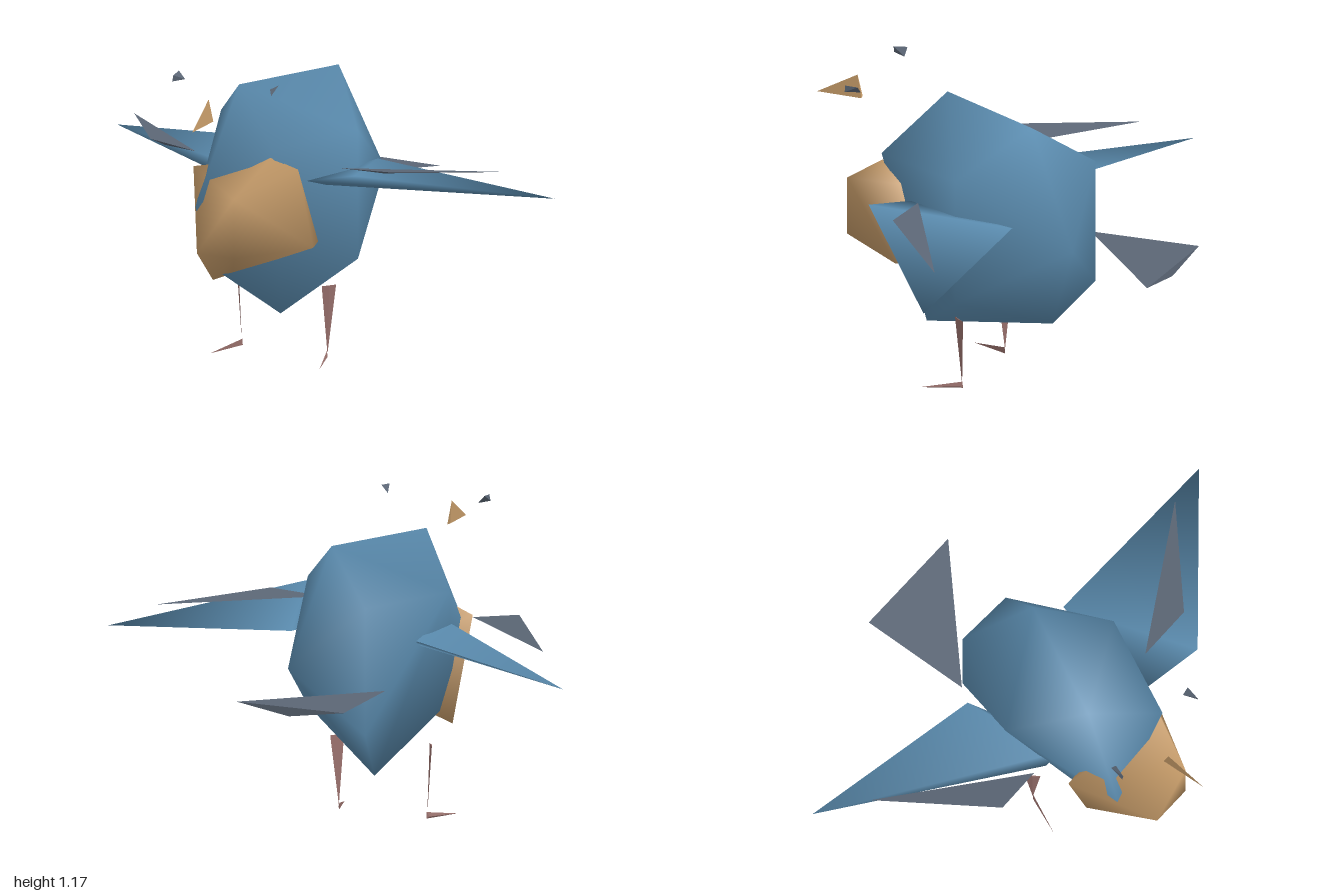
import * as THREE from 'three';
import { ConvexGeometry } from 'three/addons/geometries/ConvexGeometry.js';
import { mergeVertices } from 'three/addons/utils/BufferGeometryUtils.js';

function paint(name, color) {
  const m = new THREE.MeshStandardMaterial({ color, side: THREE.DoubleSide });
  m.name = name;
  return m;
}

export function createModel() {
  const bird = new THREE.Group();
  bird.name = 'bird';
  const blue = paint('plumage blue', 0x5a8bae);
  const tan = paint('belly tan', 0xc49a68);
  const grey = paint('feather grey', 0x5b6675);
  const pink = paint('leg pink', 0x98706c);

  // Hull through a few corner points: crisp facets, or smooth-shaded
  function solid(name, material, smooth, corners) {
    let geo = new ConvexGeometry(corners.map((c) => new THREE.Vector3(...c)));
    if (smooth) {
      geo.deleteAttribute('normal');
      geo = mergeVertices(geo, 1e-4);
      geo.computeVertexNormals();
    }
    const mesh = new THREE.Mesh(geo, material);
    mesh.name = name;
    bird.add(mesh);
  }

  // Body: a stretched, twisted low-poly ball
  solid('body', blue, true, [
    [0.06, 1.08, -0.2], [-0.12, 1.08, 0.24],
    [0.06, 0.21, 0.24], [-0.12, 0.21, -0.2],
    [0.14, 0.64, -0.41], [-0.19, 0.64, 0.45],
    [0.27, 0.9, 0.02], [0.27, 0.4, 0.02], [-0.33, 0.9, 0.01],
    [-0.16, 0.89, -0.36], [-0.16, 0.4, -0.36],
    [0.12, 0.89, 0.4], [-0.16, 0.4, 0.39],
  ]);

  // Belly bulging from the front
  solid('belly', tan, true, [
    [-0.11, 0.5, 0.578], [0.05, 0.5, 0.578], [0.05, 0.73, 0.578],
    [0.11, 0.86, 0.4], [0.17, 0.8, 0.3], [0.23, 0.5, 0.29], [0.2, 0.5, 0.2],
    [-0.08, 0.38, 0.36], [-0.2, 0.32, 0.3], [-0.29, 0.75, 0.29],
  ]);

  // Wings
  solid('leftWing', blue, true, [
    [0.23, 0.735, -0.2], [1, 0.68, -0.2], [0.42, 0.81, 0.31],
    [0.18, 0.745, 0.25], [0.2, 0.715, 0.17],
  ]);
  solid('rightWing', blue, true, [
    [-1, 0.665, -0.37], [-0.3, 0.75, -0.21], [-0.22, 0.75, 0.18],
    [-0.28, 0.71, 0.17], [-0.25, 0.71, -0.1],
  ]);

  // Wing tip feathers
  solid('leftFeather', grey, false, [
    [0.82, 0.77, -0.16], [0.5, 0.802, 0.17], [0.28, 0.79, 0.17], [0.45, 0.785, 0.14],
  ]);
  solid('rightFeather', grey, false, [
    [-0.84, 0.765, -0.22], [-0.54, 0.798, 0.18], [-0.35, 0.772, 0.17], [-0.5, 0.77, 0.14],
  ]);

  // Tail wedge
  solid('tail', grey, false, [
    [-0.26, 0.575, -0.745], [0.19, 0.575, -0.745], [-0.03, 0.54, -0.745], [-0.22, 0.57, -0.31],
  ]);

  // Beak sliver
  solid('beak', tan, false, [
    [-0.055, 1.11, 0.585], [-0.035, 1.02, 0.745], [-0.058, 1.025, 0.565], [-0.046, 1.02, 0.565],
  ]);

  // Eyes, legs and feet, mirrored about the body's own middle
  for (const [side, s] of [['left', 1], ['right', -1]]) {
    const at = (x, y, z) => [-0.033 + s * x, y, z];
    solid(side + 'Eye', grey, false, [
      at(0.217, 1.17, 0.47), at(0.19, 1.14, 0.47), at(0.215, 1.14, 0.525), at(0.21, 1.165, 0.525),
    ]);
    solid(side + 'Leg', pink, false, [
      at(0.214, 0.29, 0.03), at(0.18, 0.29, 0.08), at(0.2, 0.29, 0.058), at(0.186, 0.02, 0.047),
    ]);
    solid(side + 'Foot', pink, false, [
      at(0.183, 0.03, 0.047), at(0.183, 0.005, 0.045), at(0.192, 0.012, 0.055), at(0.238, 0, 0.2),
    ]);
  }
  return bird;
}
